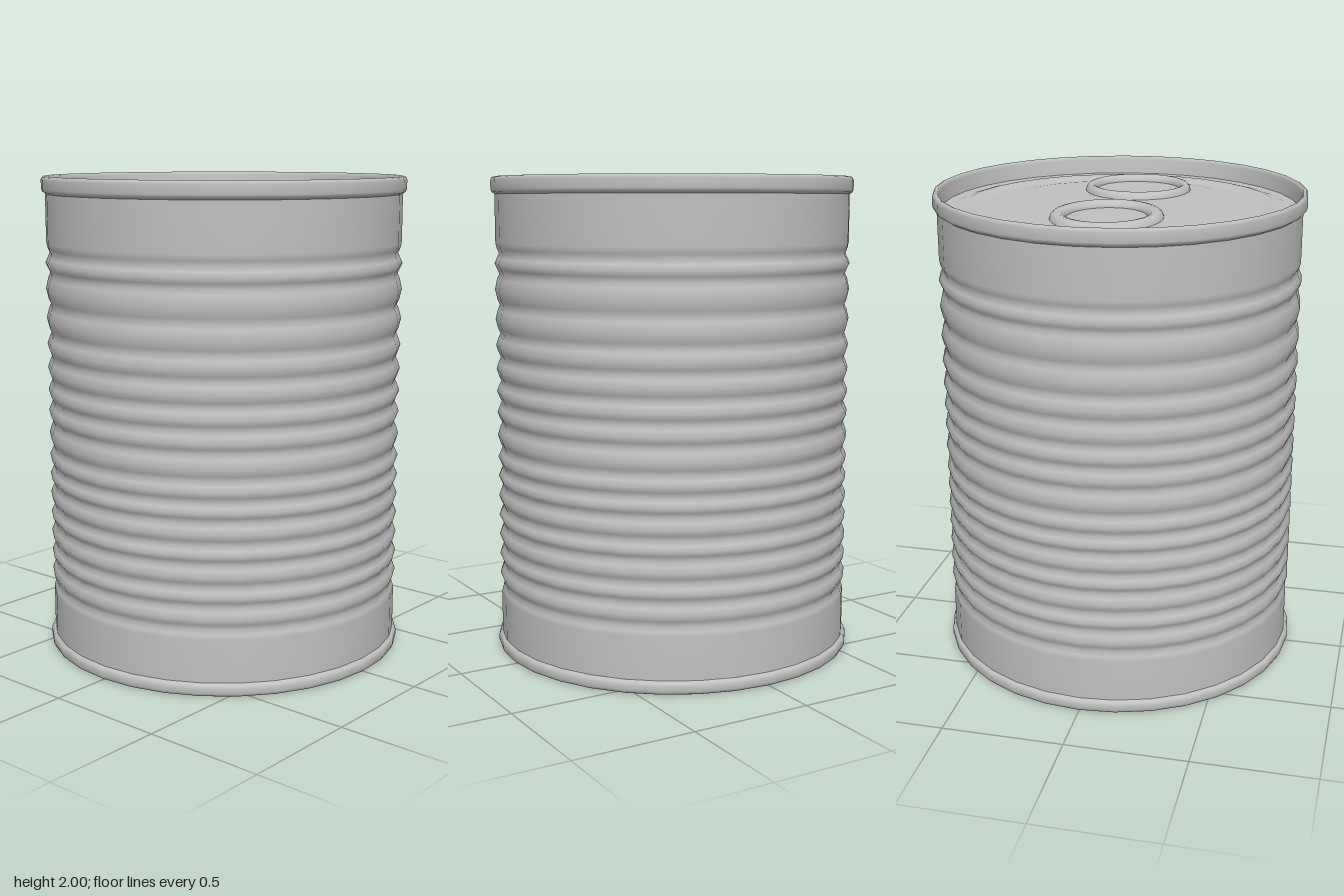
import * as THREE from 'three';

const SIDES = 32;
const metal = new THREE.MeshStandardMaterial({ color: 0xc0c0c0 });
metal.name = 'plain tin';

// Revolved part; profile runs bottom centre -> outside -> top centre
function lathe(name, profile) {
  const points = profile.map(([r, y]) => new THREE.Vector2(r, y));
  const mesh = new THREE.Mesh(new THREE.LatheGeometry(points, SIDES), metal);
  mesh.name = name;
  return mesh;
}

// Raised oval bead pressed into the lid
function ovalBead(name, z, outerX, outerZ, innerX, innerZ, y, height) {
  const geo = new THREE.TorusGeometry(1, 0.2, 12, 40);
  geo.rotateX(-Math.PI / 2);
  const p = geo.attributes.position;
  for (let i = 0; i < p.count; i++) {
    const x = p.getX(i), pz = p.getZ(i);
    const radius = Math.hypot(x, pz), t = (radius - 0.8) / 0.4;
    const rx = innerX + (outerX - innerX) * t;
    const rz = innerZ + (outerZ - innerZ) * t;
    p.setXYZ(i, (x / radius) * rx, (p.getY(i) / 0.2) * height, (pz / radius) * rz);
  }
  geo.computeVertexNormals();
  const mesh = new THREE.Mesh(geo, metal);
  mesh.name = name;
  mesh.position.set(0, y, z);
  return mesh;
}

export function createModel() {
  const can = new THREE.Group();
  can.name = 'tinCan';

  // Ribbed wall: shallow grooves between rounded ridges
  const grooves = [0.27, 0.36, 0.44, 0.53, 0.61, 0.7, 0.78, 0.865, 0.97,
    1.06, 1.15, 1.25, 1.35, 1.47, 1.6, 1.685];
  const wall = [[0.745, 0.04], [0.745, 0.23]];
  grooves.forEach((y, i) => {
    wall.push([0.74, y - 0.02], [0.731, y], [0.74, y + 0.02]);
    const next = grooves[i + 1];
    if (next) wall.push([0.75, (y + next) / 2]);
  });
  wall.push([0.745, 1.73], [0.745, 1.95]);
  can.add(lathe('ribbedWall', wall));

  // Rolled rims
  can.add(lathe('bottomRim', [
    [0.735, 0.02], [0.738, 0.004], [0.747, 0], [0.756, 0.004], [0.761, 0.015],
    [0.761, 0.035], [0.756, 0.047], [0.744, 0.055],
  ]));
  can.add(lathe('topRim', [
    [0.744, 1.928], [0.756, 1.936], [0.761, 1.948], [0.761, 1.985],
    [0.756, 1.996], [0.748, 2], [0.74, 1.996], [0.736, 1.985], [0.727, 1.92],
  ]));

  // Recessed end panels; the lid has two stamped rings
  can.add(lathe('base', [[0, 0.015], [0.738, 0.015]]));
  const lidY = 1.925;
  can.add(lathe('lid', [
    [0.73, lidY], [0.69, lidY - 0.003], [0.665, lidY + 0.004], [0.64, lidY + 0.01],
    [0.615, lidY + 0.007], [0.59, lidY], [0.565, lidY - 0.003], [0.54, lidY],
    [0.5, lidY + 0.002], [0, lidY + 0.002],
  ]));

  // Two oval beads in a line along the lid
  can.add(ovalBead('backOvalBead', -0.239, 0.225, 0.254, 0.16, 0.182, lidY, 0.03));
  can.add(ovalBead('frontOvalBead', 0.344, 0.225, 0.235, 0.178, 0.175, lidY, 0.03));

  return can;
}
